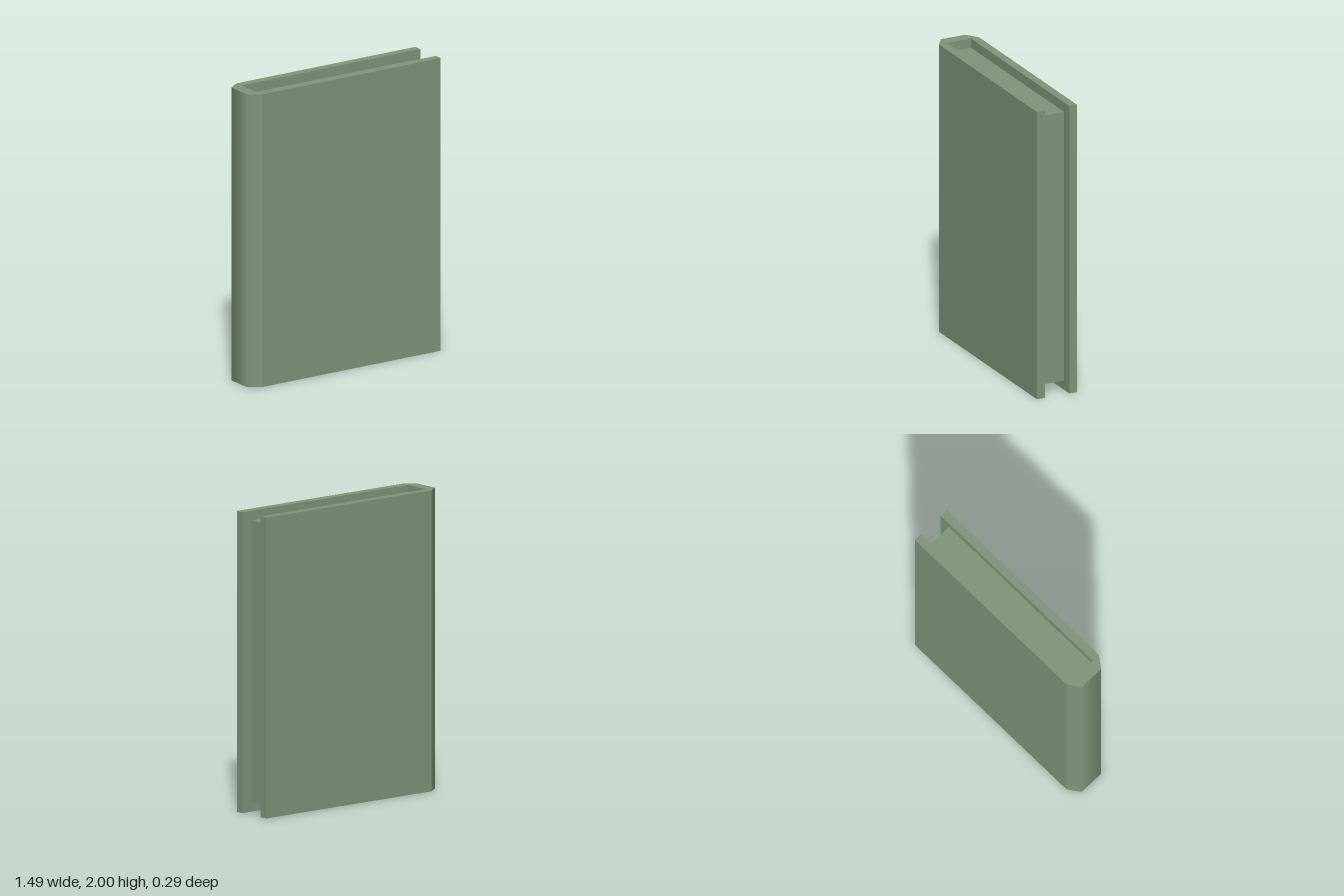
import * as THREE from 'three';

const H = 2, X = 0.745, HINGE = -0.665, Z = 0.147, INNER = 0.09;

export function createModel() {
  const book = new THREE.Group();
  book.name = 'book';
  const material = new THREE.MeshStandardMaterial({ color: 0x80957a });

  // Cover: U-shaped section with a chamfered spine, extruded upward
  const half = [[X, INNER], [X, Z], [HINGE, Z], [-X, INNER]];
  const mirrored = half.map(([x, z]) => [x, -z]).reverse();
  const section = [...half, ...mirrored, [HINGE, -INNER], [HINGE, INNER]];
  const shape = new THREE.Shape(section.map(([x, z]) => new THREE.Vector2(x, z)));
  const coverGeo = new THREE.ExtrudeGeometry(shape, { depth: H, bevelEnabled: false });
  coverGeo.rotateX(-Math.PI / 2);

  // Blend the normals where the spine meets its chamfers, so it shades as rounded
  const pos = coverGeo.attributes.position, nor = coverGeo.attributes.normal;
  const chamfer = new THREE.Vector2(-(Z - INNER), HINGE + X).normalize();
  const blend = new THREE.Vector2(-1, 0).add(chamfer).normalize();
  for (let i = 0; i < pos.count; i++) {
    if (pos.getX(i) < -X + 0.001 && Math.abs(nor.getY(i)) < 0.5) {
      nor.setXYZ(i, blend.x, 0, Math.sign(pos.getZ(i)) * blend.y);
    }
  }
  const cover = new THREE.Mesh(coverGeo, material);
  cover.name = 'cover';
  book.add(cover);

  // Page block, set in from the top, bottom and fore edge
  const foreEdge = 0.67, inset = 0.065;
  const pages = new THREE.Mesh(
    new THREE.BoxGeometry(foreEdge - HINGE, H - 2 * inset, 2 * INNER), material);
  pages.position.set((foreEdge + HINGE) / 2, H / 2, 0);
  pages.name = 'pages';
  book.add(pages);

  return book;
}
